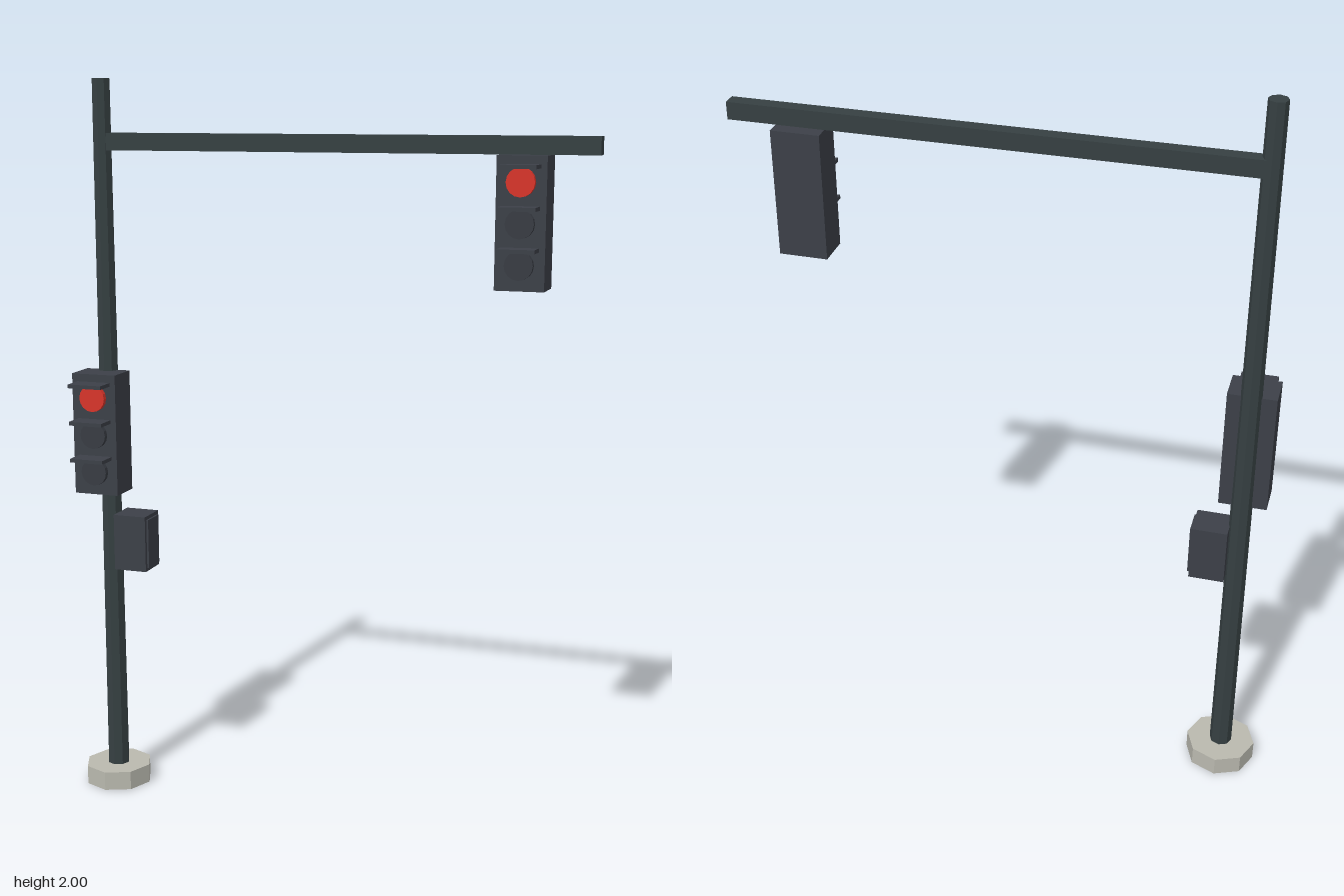
import * as THREE from 'three';

const mat = (name, color) => {
  const m = new THREE.MeshStandardMaterial({ color, flatShading: true });
  m.name = name;
  return m;
};

export function createModel() {
  const steel = mat('dark steel', 0x364042);
  const housing = mat('charcoal housing', 0x3c4048);
  const concrete = mat('concrete', 0xbab9af);
  const red = mat('lit red', 0xd8352a);
  const unlit = mat('unlit lens', 0x383c43);

  const model = new THREE.Group();
  model.name = 'trafficLight';
  const poleX = -0.63, poleZ = -0.028;

  const add = (parent, name, geometry, material, x, y, z) => {
    const mesh = new THREE.Mesh(geometry, material);
    mesh.name = name;
    mesh.position.set(x, y, z);
    parent.add(mesh);
    return mesh;
  };
  const box = (w, h, d) => new THREE.BoxGeometry(w, h, d);

  // Footing, tapered pole and arm
  add(model, 'footing', new THREE.CylinderGeometry(0.096, 0.096, 0.053, 8), concrete, poleX, 0.0265, poleZ);
  add(model, 'pole', new THREE.CylinderGeometry(0.025, 0.031, 1.96, 8), steel, poleX, 1.02, poleZ);
  add(model, 'arm', box(1.35, 0.046, 0.038), steel, 0.045, 1.834, poleZ - 0.002);

  // Signal head: housing with three lenses, each under a flat visor
  const signalHead = (name, x, y, z) => {
    const head = new THREE.Group();
    head.name = name;
    head.position.set(x, y, z);
    model.add(head);
    add(head, 'signalHousing', box(0.128, 0.336, 0.095), housing, 0, 0, 0);
    ['redLens', 'amberLens', 'greenLens'].forEach((lensName, i) => {
      const lensY = 0.103 - i * 0.103;
      const lens = new THREE.CylinderGeometry(0.037, 0.037, 0.016, 16).rotateX(Math.PI / 2);
      add(head, lensName, lens, i === 0 ? red : unlit, 0, lensY, 0.054);
      add(head, 'visor', box(0.097, 0.01, 0.06), housing, 0, lensY + 0.039, 0.076);
    });
  };
  signalHead('armSignal', 0.529, 1.642, -0.037);
  signalHead('poleSignal', poleX - 0.002, 1.043, 0.016);

  // Control cabinet with a thin door on its outer side
  add(model, 'controlCabinet', box(0.095, 0.158, 0.09), housing, -0.557, 0.728, poleZ);
  add(model, 'cabinetDoor', box(0.006, 0.138, 0.07), housing, -0.507, 0.728, poleZ);

  return model;
}
